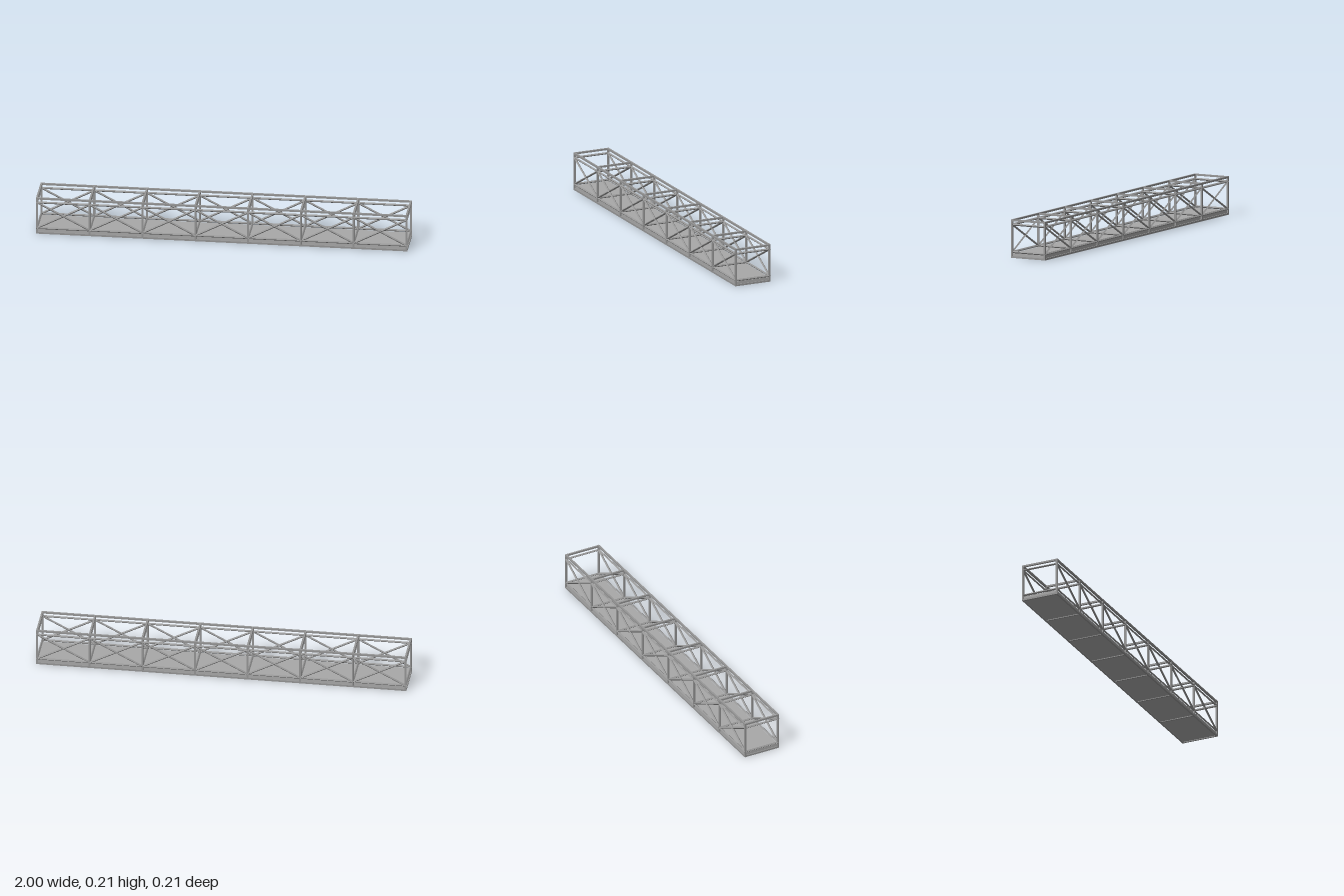
import * as THREE from 'three';

export function createModel() {
  const model = new THREE.Group();
  const steel = new THREE.MeshStandardMaterial({ color: 0x969696 });
  steel.name = 'steel grey';
  const deckGrey = new THREE.MeshStandardMaterial({ color: 0xa8a8a8 });
  deckGrey.name = 'deck grey';

  const BAYS = 7, END = 0.995, Z = 0.0995;
  const BOTTOM = 0.005, LOW = 0.032, HIGH = 0.18, TOP = 0.203;
  const bay = (2 * END) / BAYS;
  const xAxis = new THREE.Vector3(1, 0, 0);

  // Square bar between two points; roll turns its section about its length
  function bar(name, a, b, size, roll = 0) {
    const from = new THREE.Vector3(...a), to = new THREE.Vector3(...b);
    const dir = to.clone().sub(from);
    const geo = new THREE.BoxGeometry(dir.length(), size, size);
    geo.rotateX(roll);
    const mesh = new THREE.Mesh(geo, steel);
    mesh.name = name;
    mesh.position.copy(from).add(to).multiplyScalar(0.5);
    mesh.quaternion.setFromUnitVectors(xAxis, dir.normalize());
    model.add(mesh);
  }
  const diamond = Math.PI / 4;

  // Deck slab between the lower chords
  const deck = new THREE.Mesh(new THREE.BoxGeometry(2 * END, 0.021, 2 * Z - 0.004), deckGrey);
  deck.name = 'deck';
  deck.position.y = 0.0145;
  model.add(deck);

  for (const z of [-Z, Z]) {
    // Chords and inner rails along the span
    bar('bottomChord', [-1, BOTTOM, z], [1, BOTTOM, z], 0.01);
    bar('topChord', [-1, TOP, z], [1, TOP, z], 0.01);
    bar('lowerRail', [-1, LOW, z], [1, LOW, z], 0.0088, diamond);
    bar('upperRail', [-1, HIGH, z], [1, HIGH, z], 0.0088, diamond);

    // Crossed braces in each bay
    for (let i = 0; i < BAYS; i++) {
      const x0 = -END + i * bay, x1 = x0 + bay;
      bar('risingBrace', [x0, LOW, z], [x1, HIGH, z], 0.0085, diamond);
      bar('fallingBrace', [x0, HIGH, z], [x1, LOW, z], 0.0085, diamond);
    }
  }

  // Ring frame at every bay line
  for (let i = 0; i <= BAYS; i++) {
    const x = -END + i * bay;
    for (const z of [-Z, Z]) bar('post', [x, 0.001, z], [x, TOP, z], 0.0098);
    bar('floorBeam', [x, BOTTOM, -Z], [x, BOTTOM, Z], 0.0098);
    bar('topBeam', [x, TOP, -Z], [x, TOP, Z], 0.0098);
    bar('lowerCrossRail', [x, LOW, -Z], [x, LOW, Z], 0.0085, diamond);
    bar('upperCrossRail', [x, HIGH, -Z], [x, HIGH, Z], 0.0085, diamond);
  }
  return model;
}
